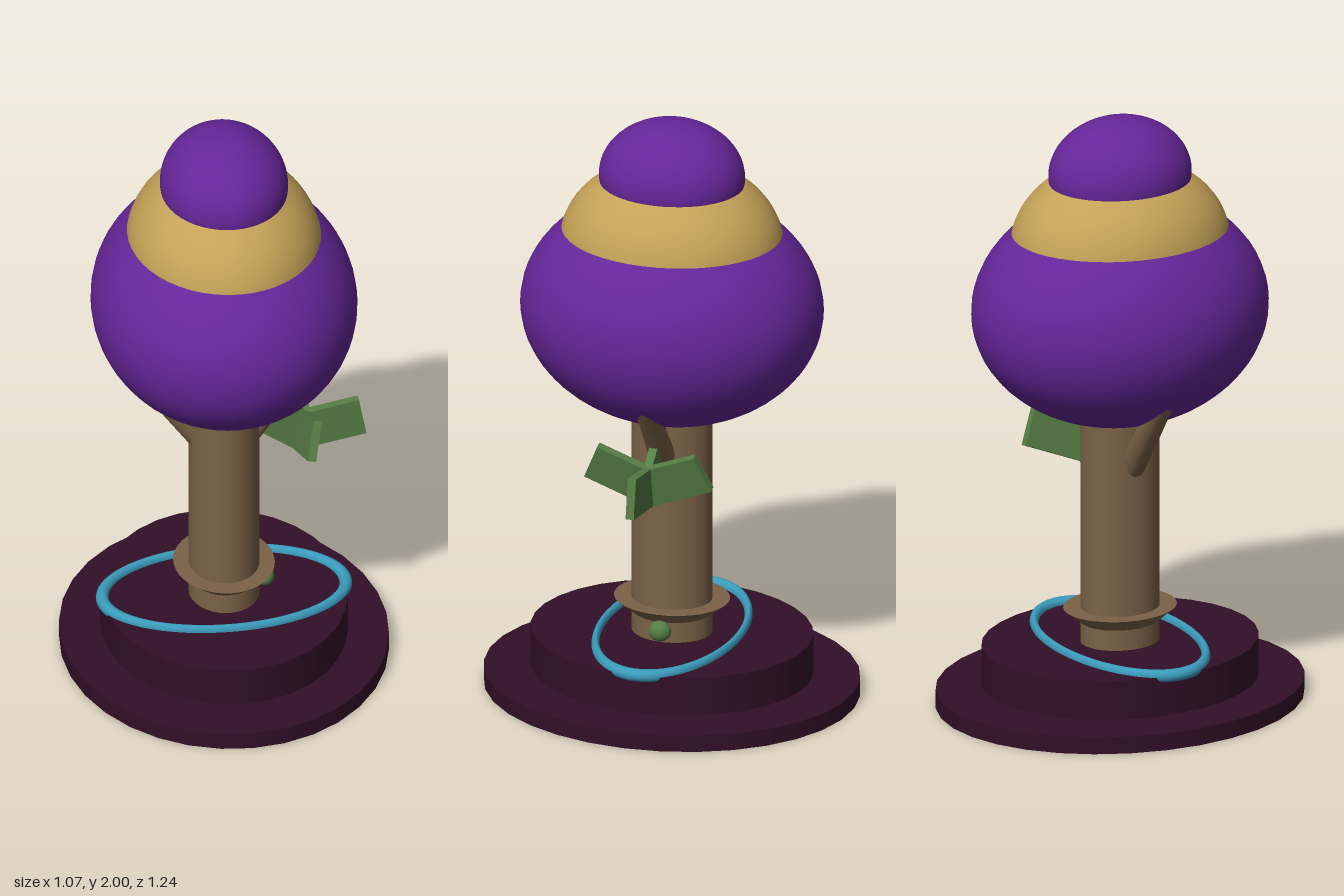
import * as THREE from 'three';

const colour = (name, hex) => {
  const m = new THREE.MeshStandardMaterial({ color: hex });
  m.name = name;
  return m;
};

export function createModel() {
  const purple = colour('purple', 0x66269a);
  const gold = colour('gold', 0xc4a257);
  const brown = colour('brown', 0x7b6247);
  const plum = colour('dark plum', 0x320f27);
  const green = colour('leaf green', 0x557d45);
  const blue = colour('blue', 0x3a9bbb);

  const model = new THREE.Group();
  model.name = 'ornamentalTree';

  const add = (name, geometry, material, x = 0, y = 0, z = 0, parent = model) => {
    const mesh = new THREE.Mesh(geometry, material);
    mesh.name = name;
    mesh.position.set(x, y, z);
    parent.add(mesh);
    return mesh;
  };

  // Oval drum between two heights; rx is given, depth is a little larger
  const OVAL = 1.16;
  const drum = (name, material, rTop, rBottom, y0, y1, sides = 32) => {
    const g = new THREE.CylinderGeometry(rTop, rBottom, y1 - y0, sides);
    g.scale(1, 1, OVAL);
    return add(name, g, material, 0, (y0 + y1) / 2, 0);
  };

  // Oval ball
  const ball = (name, material, rx, ry, rz, x, y) => {
    const g = new THREE.SphereGeometry(1, 48, 32);
    g.scale(rx, ry, rz);
    return add(name, g, material, x, y, 0);
  };

  // Two-step plinth
  drum('plinthBase', plum, 0.535, 0.535, 0, 0.058);
  drum('plinthStep', plum, 0.402, 0.402, 0.07, 0.203);

  // Blue ring lying on the step
  const ring = new THREE.TorusGeometry(0.4, 0.021, 16, 64);
  ring.rotateX(Math.PI / 2);
  ring.scale(1, 1, 0.575);
  add('ring', ring, blue, 0, 0.204, 0);

  // Trunk with a flared collar
  drum('trunk', brown, 0.115, 0.115, 0.2, 1.05, 40);
  drum('trunkCollar', brown, 0.165, 0.11, 0.268, 0.32, 40);

  // Side branches reaching into the crown
  const up = new THREE.Vector3(0, 1, 0);
  for (const side of [1, -1]) {
    const from = new THREE.Vector3(side * 0.055, 0.79, 0);
    const to = new THREE.Vector3(side * 0.3, 1.12, 0);
    const along = to.clone().sub(from);
    const g = new THREE.CylinderGeometry(0.036, 0.045, along.length(), 20);
    const branch = add(side > 0 ? 'leftBranch' : 'rightBranch', g, brown);
    branch.position.copy(from).add(to).multiplyScalar(0.5);
    branch.quaternion.setFromUnitVectors(up, along.normalize());
  }

  // Three stacked crown balls
  ball('lowerCrown', purple, 0.433, 0.39, 0.5, 0, 1.35);
  ball('middleCrown', gold, 0.32, 0.287, 0.37, 0, 1.568);
  ball('topCrown', purple, 0.208, 0.19, 0.241, 0, 1.81);

  // Small green fruit at the foot of the trunk
  ball('fruit', green, 0.031, 0.035, 0.037, 0.134, 0.25);

  // Tilted cluster of four upright leaf plates
  const leaves = new THREE.Group();
  leaves.name = 'leafCluster';
  leaves.position.set(0.236, 0.74, 0);
  leaves.rotation.z = -0.22;
  model.add(leaves);
  for (let i = 0; i < 4; i++) {
    const g = new THREE.BoxGeometry(0.235, 0.135, 0.028);
    g.translate(0.1175, 0.0675, 0);
    g.rotateZ(0.4);
    g.rotateY(i * Math.PI / 2);
    add('leaf', g, green, 0, 0, 0, leaves);
  }

  return model;
}
